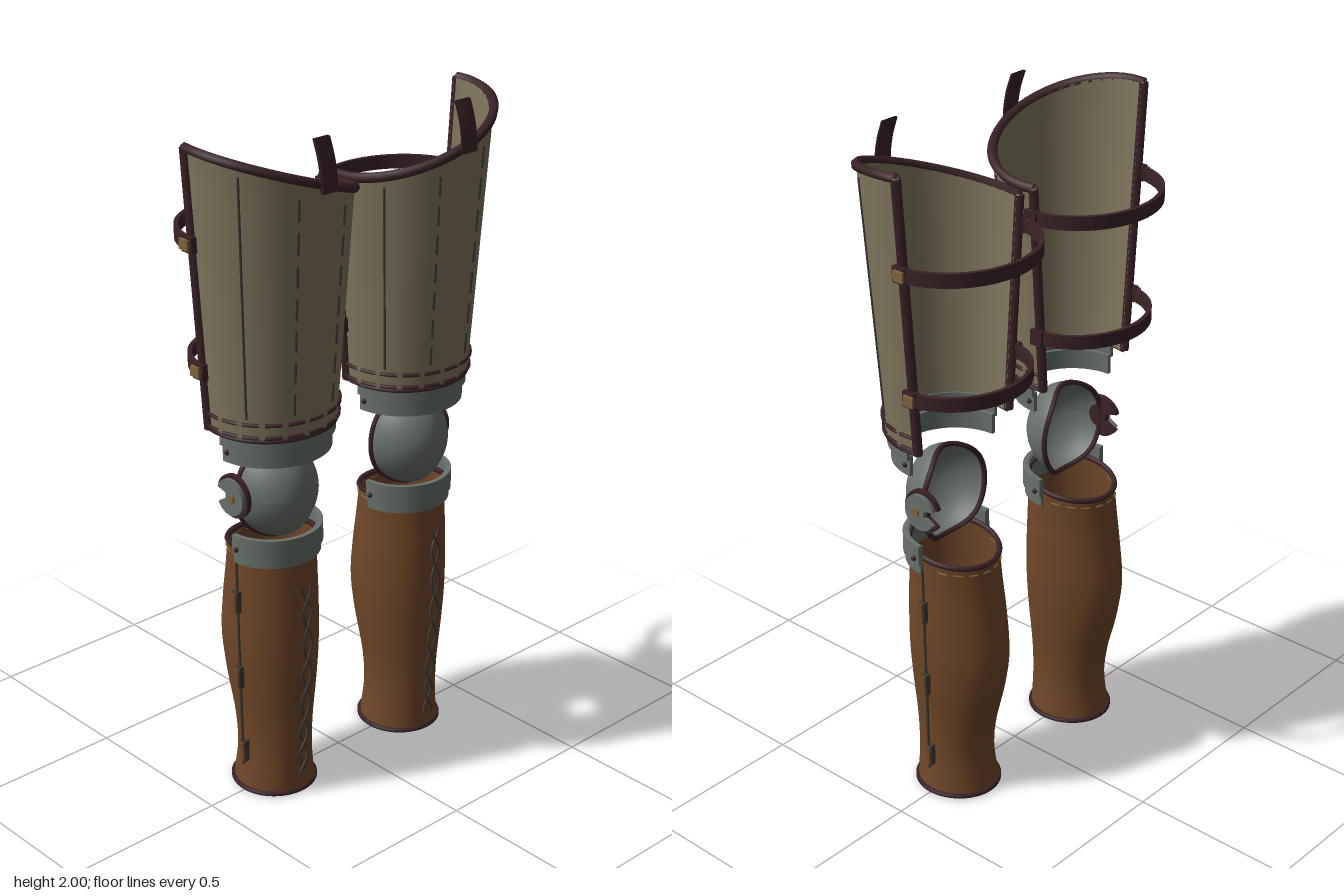
import * as THREE from 'three';

const V = (x, y, z) => new THREE.Vector3(x, y, z);
const mat = (name, color) => new THREE.MeshStandardMaterial({ name, color, side: THREE.DoubleSide });

// Grid surface from a rule f(u, v) with u and v in 0..1
function surface(f, nu, nv) {
  const pos = [], idx = [];
  for (let j = 0; j <= nv; j++) for (let i = 0; i <= nu; i++) pos.push(...f(i / nu, j / nv).toArray());
  for (let j = 0; j < nv; j++) for (let i = 0; i < nu; i++) {
    const a = j * (nu + 1) + i, b = a + nu + 1;
    idx.push(a, b, a + 1, a + 1, b, b + 1);
  }
  const g = new THREE.BufferGeometry();
  g.setAttribute('position', new THREE.Float32BufferAttribute(pos, 3));
  g.setIndex(idx);
  g.computeVertexNormals();
  return g;
}

function cord(f, n, r, closed = false) {
  const pts = [];
  for (let i = 0; i < (closed ? n : n + 1); i++) pts.push(f(i / n));
  return new THREE.TubeGeometry(new THREE.CatmullRomCurve3(pts, closed), n * 2, r, 6, closed);
}

// Half ring open to the back, top face at y = 0
function halfRing(rx, rz, wall, h) {
  const s = new THREE.Shape();
  s.absellipse(0, 0, rx, rz, 0, Math.PI, false);
  s.lineTo(-rx + wall, 0);
  s.absellipse(0, 0, rx - wall, rz - wall, Math.PI, 0, true);
  return new THREE.ExtrudeGeometry(s, { depth: h, bevelEnabled: false, curveSegments: 20 }).rotateX(Math.PI / 2);
}

// Thigh shell: a is the angle fraction from outer edge round the front, y the height
const shellX = y => 0.188 + (y - 1.17) * 0.071;
const shellZ = y => 0.183 + (y - 1.17) * 0.07;
const topY = u => 1.877 + 0.09 * Math.cos(Math.PI * u);
function shell(u, y, out = 0) {
  const rx = shellX(y) + out, rz = shellZ(y) + out, e = Math.asin(0.042 / rz);
  const a = -e + u * (Math.PI + 2 * e);
  return V(rx * Math.cos(a), y, rz * Math.sin(a));
}

// Calf sections: height, half width, front z, back z
const calfRows = [
  [0, 0.117, 0.117, -0.126], [0.03, 0.113, 0.116, -0.122], [0.12, 0.103, 0.117, -0.113],
  [0.22, 0.104, 0.122, -0.125], [0.35, 0.117, 0.132, -0.158], [0.47, 0.126, 0.138, -0.174],
  [0.6, 0.126, 0.138, -0.16], [0.7, 0.123, 0.135, -0.143], [0.8, 0.122, 0.132, -0.13]];
const calfCurves = [1, 2, 3].map(k => new THREE.CatmullRomCurve3(calfRows.map(r => V(r[k], r[0], 0))));
function calf(u, v, out = 0) {
  const [w, f, b] = calfCurves.map(c => c.getPoint(v).x);
  const a = u * Math.PI * 2, s = Math.sin(a);
  const y = calfCurves[0].getPoint(v).y;
  const z = (s > 0 ? f + out : -b + out) * s;
  return V((w + out) * Math.cos(a), y + (v > 0.9 ? z * 0.15 * (v - 0.9) * 10 : 0), z);
}

// Knee cup: u round the rim, v from rim to nose
function knee(u, v) {
  const a = u * Math.PI * 2, t = v * Math.PI / 2, c = Math.cos(t);
  const lift = 0.035 * Math.abs(Math.sin(a)) ** 6;
  return V(0.127 * Math.cos(a) * c, 0.955 + 0.14 * Math.sin(a) * c, lift + (0.14 - lift) * Math.sin(t));
}

function createLeg(M) {
  const leg = new THREE.Group();
  const add = (name, geo, m, x = 0, y = 0, z = 0) => {
    const mesh = new THREE.Mesh(geo, m);
    mesh.name = name;
    mesh.position.set(x, y, z);
    leg.add(mesh);
    return mesh;
  };

  // Thigh guard with bound edges
  add('thighGuard', surface((u, v) => shell(u, 1.165 + v * (topY(u) - 1.165)), 24, 8), M.canvas);
  add('thighLining', surface((u, v) => shell(u, 1.165 + v * (topY(u) - 1.165), -0.012), 24, 8), M.canvas);
  add('thighTopTrim', cord(u => shell(u, topY(u)), 24, 0.014), M.trim);
  add('thighBottomTrim', cord(u => shell(u, 1.165, -0.004), 24, 0.008), M.trim);
  for (const u of [0, 1]) {
    add('thighEdgeTrim', cord(t => shell(u, 1.165 + t * (topY(u) - 1.165)), 4, 0.014), M.trim);
  }

  // Stitch rows round the hem
  for (const y of [1.177, 1.215]) for (let i = 0; i < 11; i++) {
    add('hemStitch', cord(t => shell((i + 0.12 + t * 0.76) / 11, y, 0.003), 3, 0.006), M.trim);
  }
  // Panel seams and dashed stitching
  for (const u of [0.21, 0.79]) {
    add('panelSeam', cord(t => shell(u, 1.23 + t * (topY(u) - 1.26), 0.001), 4, 0.0035), M.thread);
  }
  for (const u of [0.4, 0.6]) for (let i = 0; i < 7; i++) {
    const h = (topY(u) - 1.26) / 7;
    add('panelStitch', cord(t => shell(u, 1.24 + (i + t * 0.68) * h, 0.001), 2, 0.004), M.thread);
  }

  // Hanging tab on the front
  const tab = [V(0, 1.86, 0.243), V(0, 1.9, 0.24), V(0, 1.95, 0.23), V(0, 2, 0.212)];
  const tabCurve = new THREE.CatmullRomCurve3(tab);
  add('hangingTab', surface((u, v) => {
    const a = u * Math.PI * 2, p = tabCurve.getPoint(v);
    return V(0.026 * Math.sign(Math.cos(a + 0.78)), p.y, p.z + 0.005 * Math.sign(Math.sin(a + 0.78)));
  }, 4, 6), M.trim);

  // Back straps with buckles
  for (const [y, rx, back] of [[1.705, 0.232, 0.239], [1.34, 0.205, 0.213]]) {
    const s = new THREE.Shape();
    const rz = back - 0.03;
    s.absellipse(0, 0, rx + 0.006, rz + 0.006, 0, Math.PI, false);
    s.lineTo(-rx + 0.006, 0);
    s.absellipse(0, 0, rx - 0.006, rz - 0.006, Math.PI, 0, true);
    const g = new THREE.ExtrudeGeometry(s, { depth: 0.04, bevelEnabled: false, curveSegments: 24 });
    add('backStrap', g.rotateX(-Math.PI / 2), M.trim, 0, y - 0.02, -0.03);
    for (const d of [1, -1]) {
      const x = d * (shellX(y) + 0.006);
      add('strapAnchor', new THREE.BoxGeometry(0.022, 0.045, 0.04), M.trim, x, y, -0.042);
      if (d > 0) add('strapBuckle', new THREE.BoxGeometry(0.009, 0.03, 0.034), M.tan, x + 0.014, y, -0.048);
    }
  }

  // Stepped metal collar under the thigh guard
  add('upperCollar', halfRing(0.182, 0.18, 0.012, 0.055), M.metal, 0, 1.185, 0);
  add('lowerCollar', halfRing(0.172, 0.17, 0.012, 0.06), M.metal, 0, 1.14, 0);

  // Knee cup and its bound rim
  add('kneeCup', surface(knee, 36, 12), M.metal);
  add('kneeRim', cord(u => knee(u, 0), 36, 0.008, true), M.trim);

  // Notched hinge disc on the outer side
  const disc = new THREE.Shape();
  disc.absarc(0, 0, 0.064, 0.35, Math.PI * 2 - 0.5, false);
  disc.lineTo(0.02, -0.012);
  disc.lineTo(0.02, 0.012);
  const hinge = (h) => new THREE.ExtrudeGeometry(disc, { depth: h, bevelEnabled: false, curveSegments: 20 }).rotateY(Math.PI / 2);
  add('hingeBacking', hinge(0.014), M.trim, 0.122, 0.957, -0.006);
  const cap = add('hingeDisc', hinge(0.014), M.metal, 0.133, 0.957, -0.006);
  cap.scale.set(1, 0.84, 0.84);
  add('hingePin', new THREE.CylinderGeometry(0.012, 0.012, 0.012, 12).rotateZ(Math.PI / 2), M.tan, 0.148, 0.957, 0.005);

  // Metal band over the calf
  add('calfBand', halfRing(0.14, 0.138, 0.012, 0.085), M.metal, 0, 0.843, 0);
  add('calfBandLip', halfRing(0.146, 0.144, 0.014, 0.06), M.metal, 0, 0.846, 0);
  for (const [x, y] of [[0.172, 1.11], [0.147, 0.805]]) for (const d of [1, -1]) {
    add('rivet', new THREE.SphereGeometry(0.008, 8, 6), M.trim, d * x, y, 0.018);
  }

  // Leather calf tube, open at both ends
  add('calf', surface((u, v) => calf(u, v), 36, 28), M.leather);
  add('calfTopTrim', cord(u => calf(u, 1), 36, 0.008, true), M.trim);
  add('calfBottomTrim', cord(u => calf(u, 0).setY(0.008), 36, 0.008, true), M.trim);
  for (let i = 0; i < 8; i++) {
    add('calfStitch', cord(t => calf(0.53 + (i + t * 0.6) * 0.055, 0.965, 0.001), 2, 0.003), M.tan);
  }

  // Crossed front lacing
  for (const d of [1, -1]) {
    add('frontLace', cord(t => {
      const p = calf(0.25, 0.17 + t * 0.69, 0.003), w = t * Math.PI * 7;
      return V(d * 0.015 * Math.cos(w), p.y, p.z + 0.005 + d * 0.005 * Math.sin(w));
    }, 42, 0.004), M.thread);
  }

  // Outer side cord with three tabs
  add('sideCord', cord(t => V(0.133 - 0.012 * (1 - t), 0.09 + t * 0.68, 0), 8, 0.004), M.thread);
  for (const [y, x] of [[0.63, 0.136], [0.385, 0.131], [0.135, 0.117]]) {
    add('sideTabEdge', new THREE.BoxGeometry(0.016, 0.068, 0.022), M.thread, x - 0.002, y, 0);
    add('sideTab', new THREE.BoxGeometry(0.022, 0.06, 0.016), M.leather, x, y, 0);
  }
  return leg;
}

export function createModel() {
  const M = {
    canvas: mat('canvas', 0x7f765c),
    trim: mat('dark trim', 0x3b2226),
    metal: mat('grey metal', 0x69706a),
    leather: mat('brown leather', 0x704729),
    thread: mat('dark thread', 0x3c3a34),
    tan: mat('tan fitting', 0x80643f),
  };
  const model = new THREE.Group();
  model.name = 'legArmour';
  for (const d of [1, -1]) {
    const leg = createLeg(M);
    leg.name = d > 0 ? 'leftLeg' : 'rightLeg';
    leg.position.x = d * 0.256;
    leg.scale.x = d;
    model.add(leg);
  }
  return model;
}
